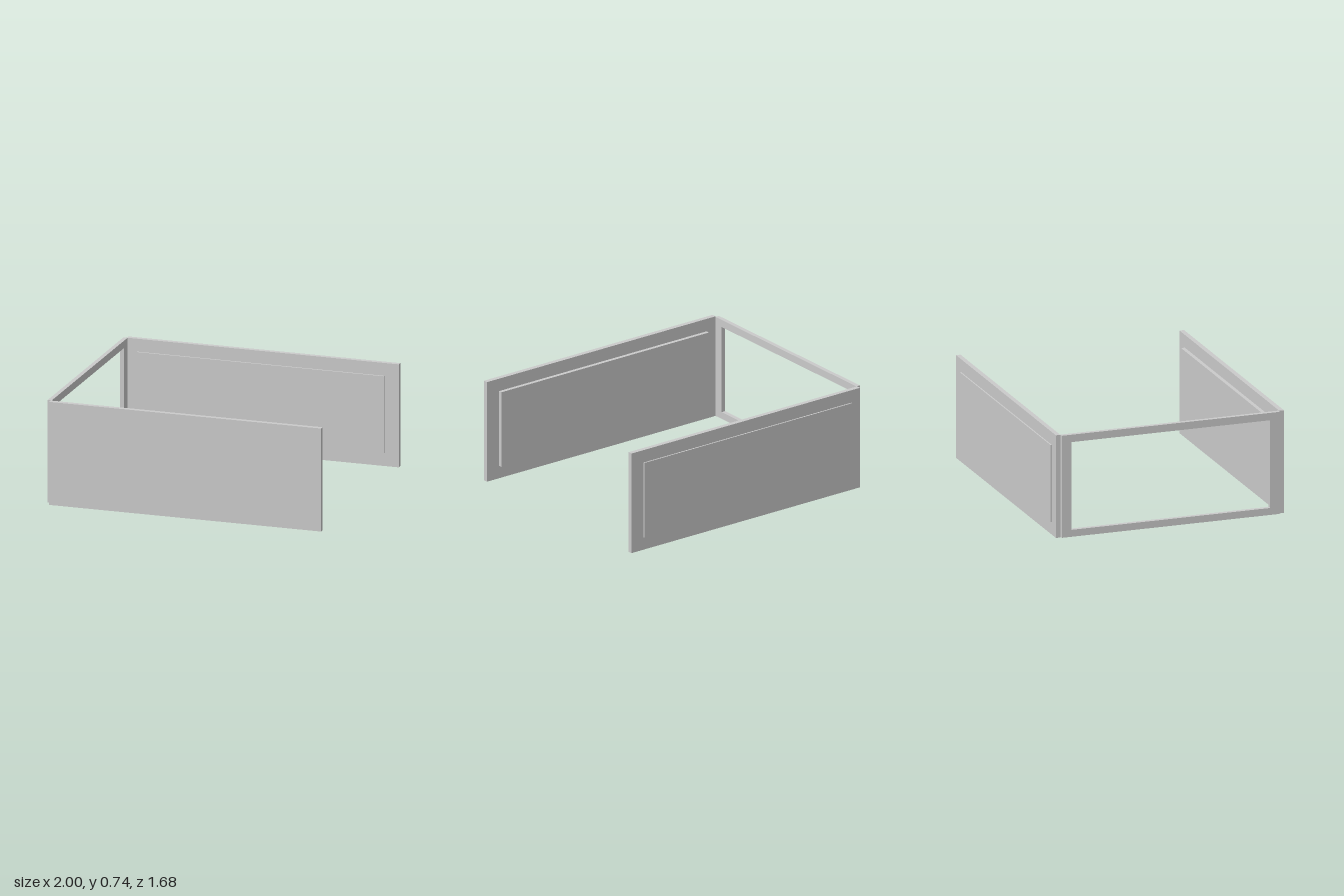
import * as THREE from 'three';

const material = new THREE.MeshStandardMaterial({ color: 0xcccccc });

// Box given by its minimum and maximum corners
function slab(name, [x0, y0, z0], [x1, y1, z1]) {
  const mesh = new THREE.Mesh(new THREE.BoxGeometry(x1 - x0, y1 - y0, z1 - z0), material);
  mesh.position.set((x0 + x1) / 2, (y0 + y1) / 2, (z0 + z1) / 2);
  mesh.name = name;
  return mesh;
}

// Rectangle outline in the (z, y) plane
function rectangle(Type, z0, z1, y0, y1) {
  return new Type([[z0, y0], [z1, y0], [z1, y1], [z0, y1]].map(p => new THREE.Vector2(...p)));
}

export function createModel() {
  const model = new THREE.Group();
  model.name = 'panelEnclosure';

  // Front wall, with a raised field on its inner face only
  const frontWall = new THREE.Group();
  frontWall.name = 'frontWall';
  frontWall.add(
    slab('frontPanel', [-0.976, 0, 0.806], [1, 0.738, 0.84]),
    slab('frontRaisedField', [-0.9, 0.092, 0.779], [0.895, 0.646, 0.808])
  );

  // Back wall, with a raised field standing out on both faces
  const backWall = new THREE.Group();
  backWall.name = 'backWall';
  backWall.add(
    slab('backPanel', [-0.976, 0, -0.83], [1, 0.738, -0.797]),
    slab('backRaisedField', [-0.9, 0.092, -0.84], [0.895, 0.646, -0.785])
  );

  // Open end frame joining the two walls
  const outline = rectangle(THREE.Shape, -0.795, 0.8, 0.004, 0.738);
  outline.holes.push(rectangle(THREE.Path, -0.726, 0.73, 0.054, 0.685));
  const frameGeometry = new THREE.ExtrudeGeometry(outline, { depth: 0.03, bevelEnabled: false });
  frameGeometry.rotateY(-Math.PI / 2); // outline x becomes z, depth runs to -x
  const endFrame = new THREE.Mesh(frameGeometry, material);
  endFrame.position.x = -0.97;
  endFrame.name = 'endFrame';

  model.add(frontWall, backWall, endFrame);
  return model;
}
